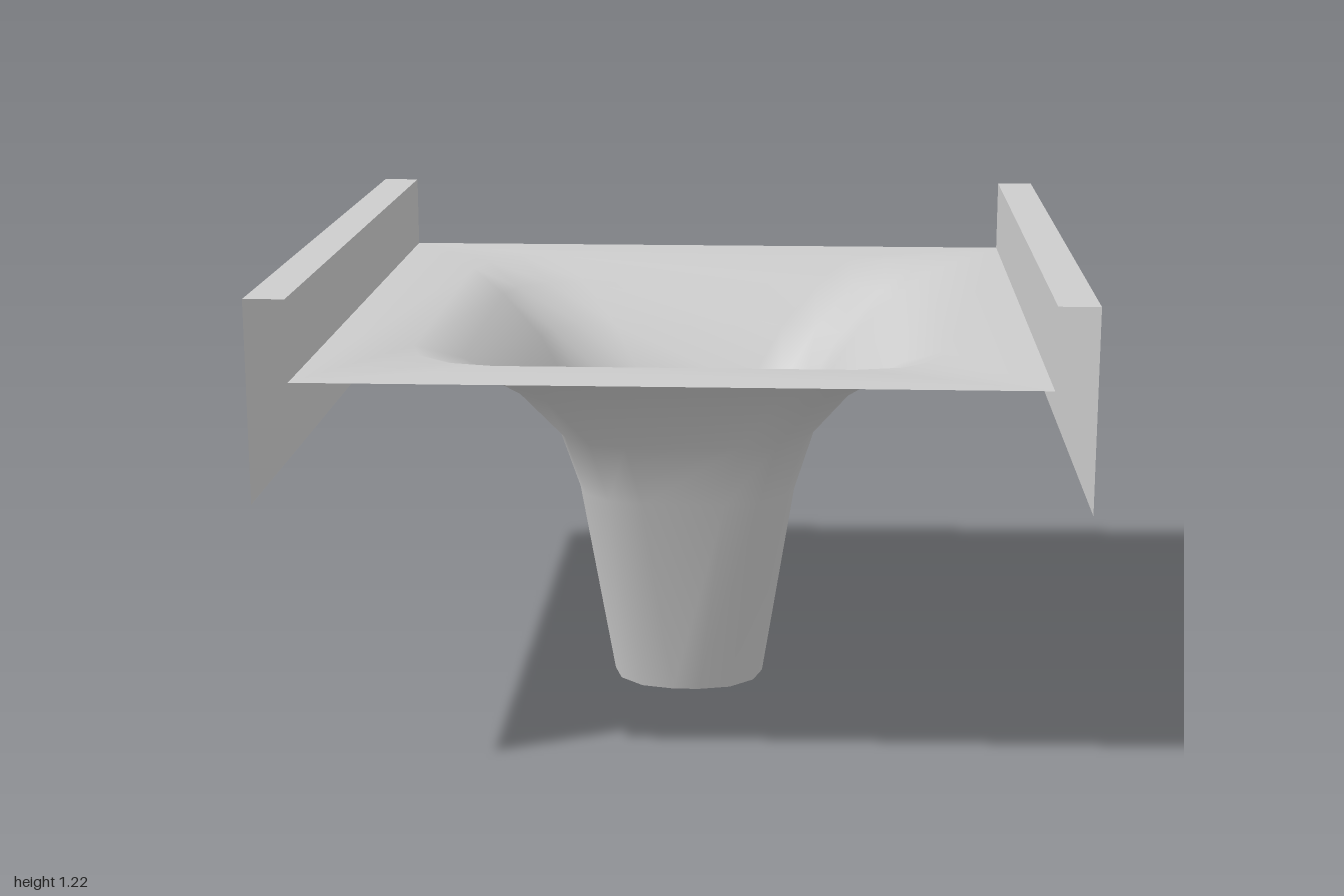
import * as THREE from 'three';

const grey = new THREE.MeshStandardMaterial({ color: 0xcccccc, side: THREE.DoubleSide });
grey.name = 'light grey';

// Sections of the funnel: height, half width, half depth, corner radius
const SECTIONS = [
  [0, 0.205, 0.235, 0.17],
  [0.55, 0.29, 0.335, 0.18],
  [0.72, 0.34, 0.395, 0.19],
  [0.865, 0.445, 0.52, 0.2],
  [0.965, 0.565, 0.66, 0.22],
  [1.02, 0.67, 0.79, 0.23],
  [1.02, 0.9, 1, 0],
];
const ARC = 4; // points on each rounded corner

// Rounded rectangle with four points per corner
function ring([y, w, d, r]) {
  const points = [];
  for (let corner = 0; corner < 4; corner++) {
    const sx = corner === 0 || corner === 3 ? 1 : -1;
    const sz = corner < 2 ? 1 : -1;
    for (let i = 0; i < ARC; i++) {
      const a = (corner + i / (ARC - 1)) * Math.PI / 2;
      points.push(sx * (w - r) + r * Math.cos(a), y, sz * (d - r) + r * Math.sin(a));
    }
  }
  return points;
}

// Open spout flaring smoothly into the flat rectangular tray
function funnelGeometry() {
  const n = ARC * 4;
  const index = [];
  for (let s = 0; s < SECTIONS.length - 1; s++) {
    for (let i = 0; i < n; i++) {
      const j = (i + 1) % n;
      const a = s * n + i, b = s * n + j, c = b + n, d = a + n;
      index.push(a, b, d, b, c, d);
    }
  }
  const geometry = new THREE.BufferGeometry();
  geometry.setAttribute('position', new THREE.Float32BufferAttribute(SECTIONS.flatMap(ring), 3));
  geometry.setIndex(index);
  geometry.computeVertexNormals();
  return geometry;
}

function sheet(name, geometry, x, y) {
  const mesh = new THREE.Mesh(geometry, grey);
  mesh.name = name;
  mesh.position.set(x, y, 0);
  return mesh;
}

// Side rail folded from thin sheet, open below and at both ends
function rail(name) {
  const group = new THREE.Group();
  group.name = name;
  group.add(
    sheet('outerWall', new THREE.PlaneGeometry(2, 0.5).rotateY(Math.PI / 2), 1, 0.97),
    sheet('railTop', new THREE.PlaneGeometry(0.1, 2).rotateX(-Math.PI / 2), 0.95, 1.22),
    sheet('innerWall', new THREE.PlaneGeometry(2, 0.2).rotateY(-Math.PI / 2), 0.9, 1.12),
  );
  return group;
}

export function createModel() {
  const model = new THREE.Group();
  model.name = 'funnelTray';
  const leftRail = rail('leftRail');
  const rightRail = rail('rightRail');
  rightRail.rotation.y = Math.PI;
  model.add(sheet('funnel', funnelGeometry(), 0, 0), leftRail, rightRail);
  return model;
}
